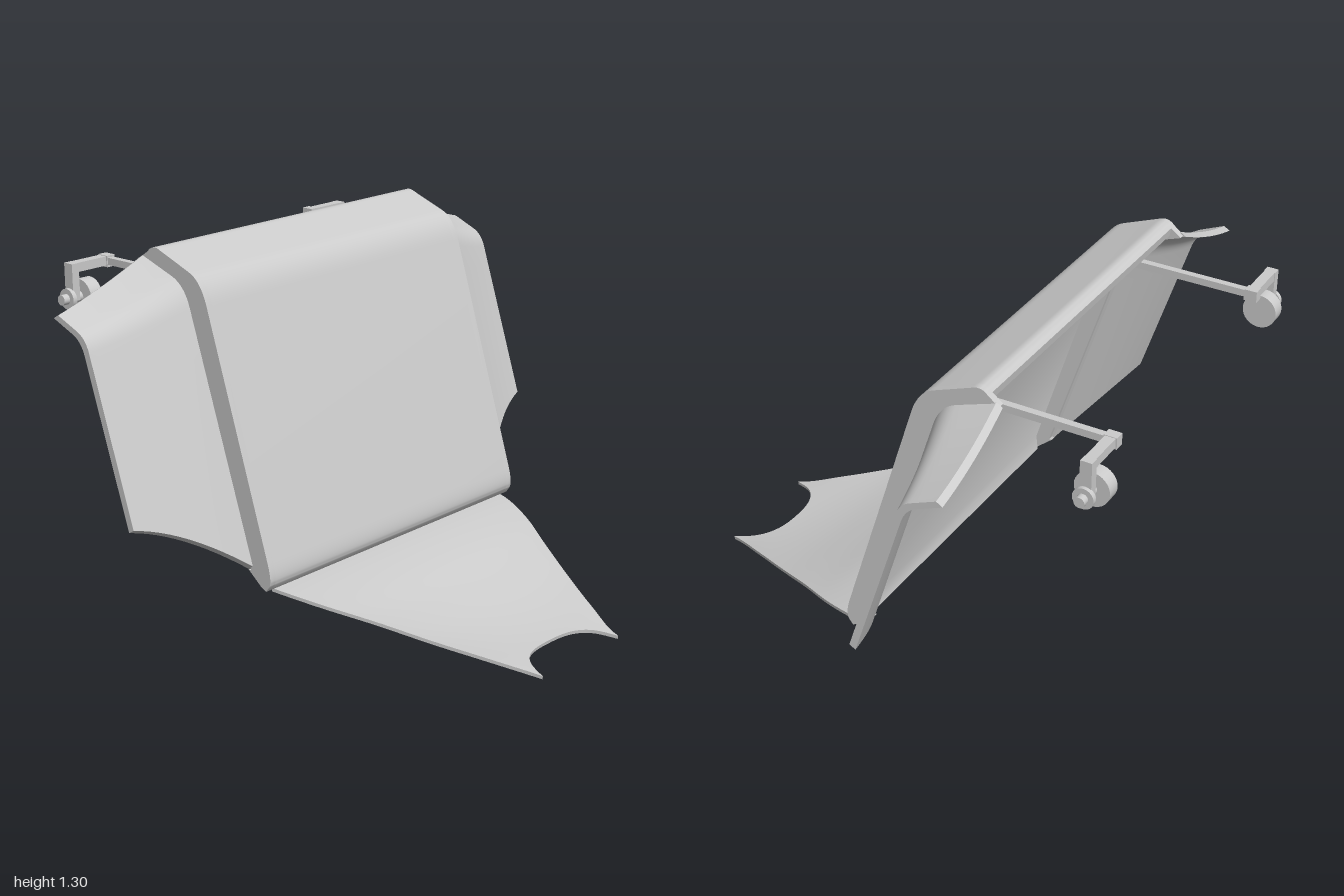
import * as THREE from 'three';
import { toCreasedNormals } from 'three/addons/utils/BufferGeometryUtils.js';

const material = new THREE.MeshStandardMaterial({ color: 0xcccccc, side: THREE.DoubleSide });
const lerp = THREE.MathUtils.lerp;

function add(parent, name, geometry, x = 0, y = 0, z = 0) {
  const mesh = new THREE.Mesh(geometry, material);
  mesh.name = name;
  mesh.position.set(x, y, z);
  parent.add(mesh);
  return mesh;
}

// Closed thin shell: a surface fn(u, v) -> [x, y, z] plus a shifted back and a rim.
function shell(fn, nu, nv, offset) {
  const pos = [], index = [];
  const row = nv + 1, count = (nu + 1) * row;
  for (const k of [0, 1])
    for (let i = 0; i <= nu; i++)
      for (let j = 0; j <= nv; j++)
        fn(i / nu, j / nv).forEach((c, a) => pos.push(c + k * offset[a]));
  const quad = (a, b, c, d) => index.push(a, b, c, a, c, d);
  for (let i = 0; i < nu; i++)
    for (let j = 0; j < nv; j++) {
      const a = i * row + j, b = a + row, c = b + 1, d = a + 1;
      quad(a, b, c, d);
      quad(d + count, c + count, b + count, a + count);
    }
  const rim = (a, b) => quad(b, a, a + count, b + count);
  for (let i = 0; i < nu; i++) {
    rim(i * row, (i + 1) * row);
    rim((i + 1) * row + nv, i * row + nv);
  }
  for (let j = 0; j < nv; j++) {
    rim(j + 1, j);
    rim(nu * row + j, nu * row + j + 1);
  }
  const g = new THREE.BufferGeometry();
  g.setAttribute('position', new THREE.Float32BufferAttribute(pos, 3));
  g.setIndex(index);
  return toCreasedNormals(g, 0.7);
}

function extrude(shape, z0, depth) {
  const g = new THREE.ExtrudeGeometry(shape, { depth, bevelEnabled: false, curveSegments: 8 });
  return toCreasedNormals(g.translate(0, 0, z0), 0.6);
}

// Front outline of the blade, shared by its face and its side walls.
function bladeOutline() {
  const s = new THREE.Shape();
  s.moveTo(-0.46, 1.28);
  s.quadraticCurveTo(-0.435, 1.308, -0.40, 1.29);
  s.lineTo(-0.27, 1.24);
  s.quadraticCurveTo(-0.215, 1.22, -0.19, 1.14);
  s.lineTo(0.065, 0.315);
  s.quadraticCurveTo(0.083, 0.255, 0.07, 0.235);
  s.lineTo(0.055, 0.215);
  return s;
}

// Cross-section of a side wing at t (0 = blade, 1 = tip), followed along u.
function wingPoint(u, t) {
  const bulge = 4 * t * (1 - t);
  const at = (a, b, dx, dy) => new THREE.Vector2(lerp(a[0], b[0], t) + dx * bulge, lerp(a[1], b[1], t) + dy * bulge);
  const top = at([-0.485, 1.264], [-0.495, 1.128], -0.004, -0.01);
  const corner = at([-0.29, 1.195], [-0.367, 1.074], -0.005, -0.012);
  const bottom = at([0, 0.285], [-0.175, 0.475], -0.022, 0.028);
  const a = corner.clone().lerp(top, 0.3), b = corner.clone().lerp(bottom, 0.08);
  if (u < 0.2) return top.lerp(a, u / 0.2);
  if (u > 0.6) return b.lerp(bottom, (u - 0.6) / 0.4);
  return new THREE.QuadraticBezierCurve(a, corner, b).getPoint((u - 0.2) / 0.4);
}

export function createModel() {
  const model = new THREE.Group();
  model.name = 'plow';

  // Curved blade face
  const face = bladeOutline();
  face.lineTo(0.035, 0.215);
  face.lineTo(0.042, 0.27);
  face.lineTo(-0.218, 1.12);
  face.quadraticCurveTo(-0.24, 1.19, -0.28, 1.21);
  face.lineTo(-0.42, 1.262);
  face.lineTo(-0.455, 1.25);
  add(model, 'bladeFace', extrude(face, -0.615, 1.23));

  // Side walls stepping back to the wings
  const wall = bladeOutline();
  wall.lineTo(0.035, 0.225);
  wall.lineTo(-0.025, 0.275);
  for (let i = 20; i >= 0; i--) {
    const p = wingPoint(i / 20, 0);
    wall.lineTo(p.x - 0.012, p.y - 0.012);
  }
  for (const s of [1, -1]) {
    const side = s > 0 ? 'left' : 'right';
    add(model, side + 'BladeWall', extrude(wall, s > 0 ? 0.615 : -0.64, 0.025));

    // Swept-back wing
    const wing = (u, v) => {
      const t = s > 0 ? 1 - v : v;
      const p = wingPoint(u, t);
      return [p.x, p.y, s * lerp(0.635, 1, t)];
    };
    add(model, side + 'Wing', shell(wing, 20, 12, [-0.022, -0.013, 0]));

    // Support arm with caster wheel
    const arm = new THREE.Group();
    arm.name = side + 'CasterArm';
    model.add(arm);
    const box = (name, w, h, d, x, y, z) => add(arm, name, new THREE.BoxGeometry(w, h, d), x, y, s * z);
    const disc = (name, r, d, z) =>
      add(arm, name, new THREE.CylinderGeometry(r, r, d, 32).rotateX(Math.PI / 2), -0.813, 1.068, s * z);
    box('armBar', 0.60, 0.025, 0.025, -0.52, 1.173, 0.515);
    box('armElbow', 0.045, 0.04, 0.035, -0.813, 1.172, 0.513);
    box('armCrossbar', 0.036, 0.032, 0.16, -0.813, 1.174, 0.60);
    box('casterLeg', 0.04, 0.13, 0.03, -0.813, 1.125, 0.67);
    disc('casterWheel', 0.06, 0.05, 0.615);
    disc('casterAxle', 0.018, 0.12, 0.662);
    disc('casterHub', 0.036, 0.016, 0.69);
  }

  // Dished scoop with a notched end
  const curve = pts => new THREE.SplineCurve(pts.map(p => new THREE.Vector2(...p)));
  const sample = (c, x) => c.getPoint((x - 0.05) / 0.82).y;
  const width = curve([[0.05, 0.605], [0.214, 0.548], [0.378, 0.457], [0.542, 0.37], [0.706, 0.285], [0.87, 0.21]]);
  const edge = curve([[0.05, 0.216], [0.214, 0.185], [0.378, 0.14], [0.542, 0.092], [0.706, 0.05], [0.87, 0.013]]);
  const middle = curve([[0.05, 0.214], [0.214, 0.178], [0.378, 0.118], [0.542, 0.066], [0.706, 0.031], [0.87, 0.013]]);
  const scoop = (u, v) => {
    const k = 1 - 2 * v, e = Math.abs(k);
    const x = lerp(0.05, 0.735 + 0.135 * e ** 2.6, u);
    return [x, lerp(sample(middle, x), sample(edge, x), e * e), k * sample(width, x)];
  };
  add(model, 'scoop', shell(scoop, 24, 32, [-0.002, -0.012, 0]));

  return model;
}
